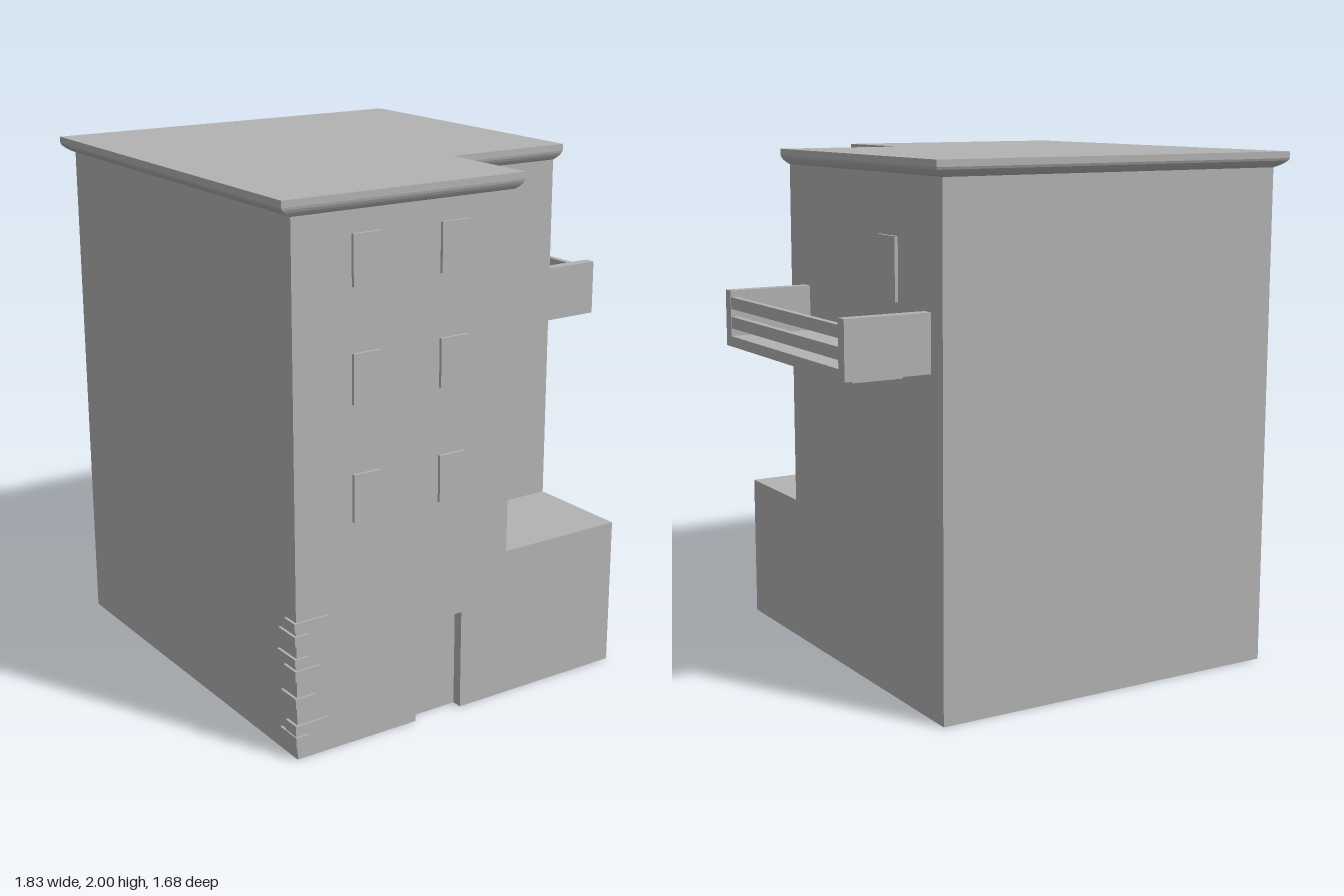
import * as THREE from 'three';

const plaster = new THREE.MeshStandardMaterial({ color: 0xb3b3b3 });
plaster.name = 'grey plaster';

// Footprints as [x, z], counter-clockwise seen from above
const upperPlan = [[-0.87, 0.82], [0.05, 0.82], [0.05, 0.4], [0.575, 0.4], [0.575, -0.8], [-0.87, -0.8]];
const roofPlan = [[-0.915, 0.84], [0.08, 0.84], [0.08, 0.42], [0.605, 0.42], [0.62, -0.84], [-0.915, -0.84]];

export function createModel() {
  const model = new THREE.Group();
  model.name = 'house';

  const add = (name, geometry, parent = model) => {
    const mesh = new THREE.Mesh(geometry, plaster);
    mesh.name = name;
    parent.add(mesh);
    return mesh;
  };
  const group = (name) => {
    const g = new THREE.Group();
    g.name = name;
    model.add(g);
    return g;
  };
  // Box given by its limits on each axis
  const box = (name, [x0, x1], [y0, y1], [z0, z1], parent) => {
    const geometry = new THREE.BoxGeometry(x1 - x0, y1 - y0, z1 - z0);
    geometry.translate((x0 + x1) / 2, (y0 + y1) / 2, (z0 + z1) / 2);
    return add(name, geometry, parent);
  };
  // Footprint raised from y0 to y1
  const prism = (name, plan, y0, y1) => {
    const shape = new THREE.Shape(plan.map(([x, z]) => new THREE.Vector2(x, -z)));
    const geometry = new THREE.ExtrudeGeometry(shape, { depth: y1 - y0, bevelEnabled: false });
    geometry.rotateX(-Math.PI / 2).translate(0, y0, 0);
    return add(name, geometry);
  };

  // Ground storey, with a doorway recessed into its front wall
  const recess = 0.78;
  prism('groundStorey', [
    [-0.87, 0.82], [-0.36, 0.82], [-0.36, recess], [-0.155, recess], [-0.155, 0.82],
    [0.575, 0.82], [0.575, -0.8], [-0.87, -0.8],
  ], 0, 0.385);
  box('wallAboveDoor', [-0.87, 0.575], [0.385, 0.58], [-0.8, 0.82]);

  // Upper storeys, stepped back around the terrace
  prism('upperStoreys', upperPlan, 0.58, 1.96);

  // Roof slab and the flared cornice beneath it
  prism('roofSlab', roofPlan, 1.975, 2);
  const rings = [[0, 1.94], [0.3, 1.946], [0.65, 1.956], [0.9, 1.966], [1, 1.975]].map(([t, y]) =>
    upperPlan.map(([x, z], i) => [
      THREE.MathUtils.lerp(x, roofPlan[i][0], t), y, THREE.MathUtils.lerp(z, roofPlan[i][1], t),
    ]));
  const corners = [];
  for (let r = 0; r < rings.length - 1; r++) {
    for (let i = 0; i < upperPlan.length; i++) {
      const j = (i + 1) % upperPlan.length;
      const a = rings[r][i], b = rings[r][j], c = rings[r + 1][j], d = rings[r + 1][i];
      corners.push(...a, ...b, ...c, ...a, ...c, ...d);
    }
  }
  const cornice = new THREE.BufferGeometry();
  cornice.setAttribute('position', new THREE.Float32BufferAttribute(corners, 3));
  cornice.computeVertexNormals();
  add('cornice', cornice);

  // Window panels
  const windows = group('windows');
  for (const [y0, y1] of [[0.845, 1.02], [1.27, 1.45], [1.68, 1.86]]) {
    for (const x of [-0.635, -0.27]) {
      box('frontWindow', [x, x + 0.115], [y0, y1], [0.815, 0.832], windows);
    }
  }
  box('terraceWindow', [0.215, 0.355], [1.27, 1.475], [0.395, 0.412], windows);
  box('balconyWindow', [0.57, 0.588], [1.485, 1.72], [-0.485, -0.35], windows);

  // Exposed stones on the front corner: bottom, top, right end, length along the side
  const stones = group('cornerStones');
  for (const [y0, y1, x1, depth] of [
    [0.05, 0.09, -0.825, 0.11], [0.095, 0.135, -0.74, 0.07], [0.2, 0.24, -0.8, 0.1],
    [0.305, 0.345, -0.775, 0.08], [0.355, 0.39, -0.82, 0.12], [0.44, 0.475, -0.825, 0.11],
    [0.49, 0.525, -0.74, 0.07],
  ]) {
    box('cornerStone', [-0.88, x1], [y0, y1], [0.828 - depth, 0.828], stones);
  }

  // Balcony with solid ends, two rails and three supporting beams
  const balcony = group('balcony');
  box('balconyFloor', [0.57, 0.91], [1.26, 1.3], [-0.675, 0.235], balcony);
  for (const z of [-0.72, 0.235]) {
    box('balconyEnd', [0.57, 0.91], [1.26, 1.475], [z, z + 0.045], balcony);
  }
  for (const y of [1.33, 1.405]) {
    box('balconyRail', [0.882, 0.908], [y, y + 0.045], [-0.675, 0.235], balcony);
  }
  for (const z of [-0.495, -0.225, 0.045]) {
    box('balconyBeam', [0.57, 0.775], [1.215, 1.26], [z - 0.02, z + 0.02], balcony);
  }

  return model;
}
